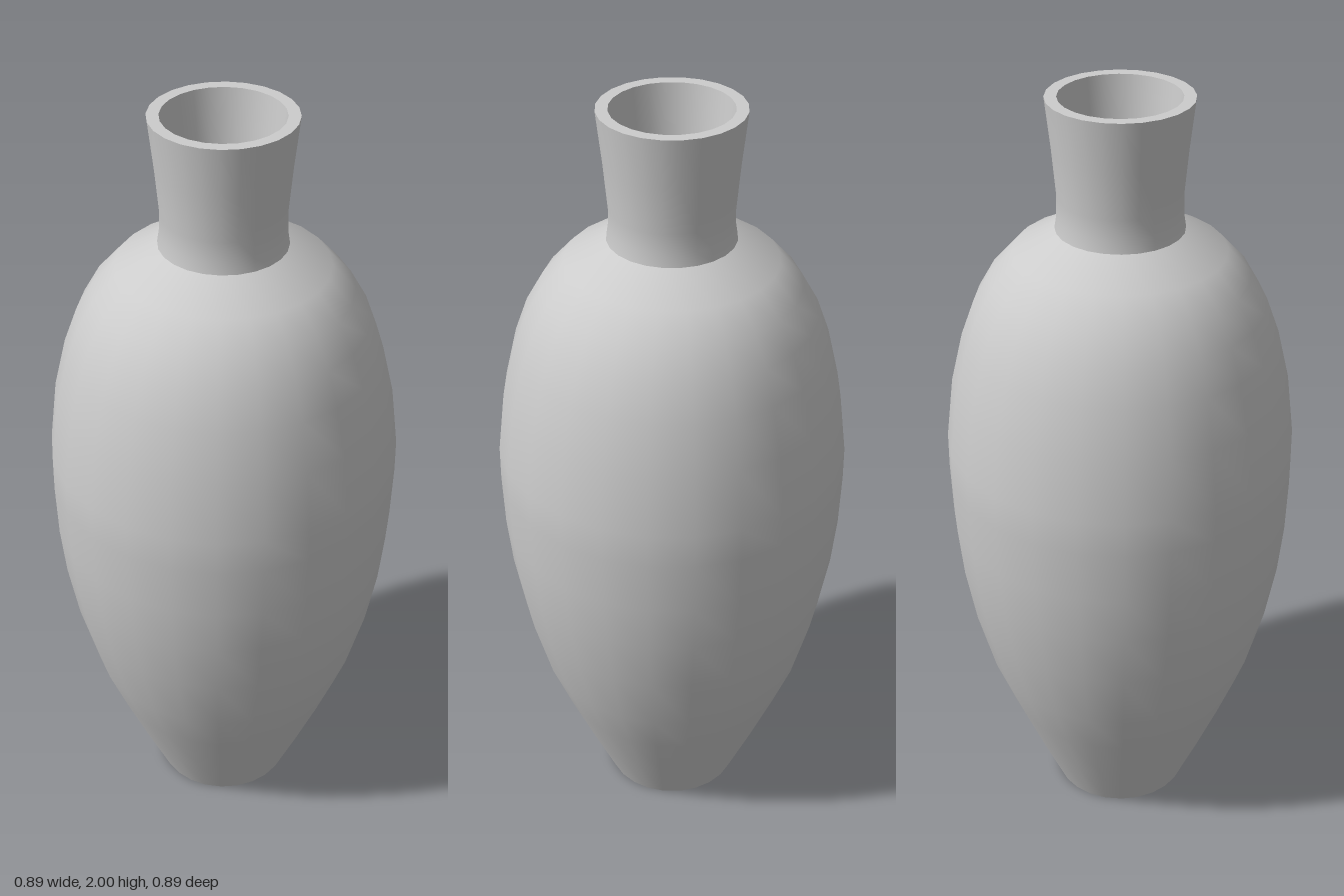
import * as THREE from 'three';

const SIDES = 24;
const WALL = 0.03;
const material = new THREE.MeshStandardMaterial({ color: 0xcccccc });

const points = (pairs) => pairs.map(([r, y]) => new THREE.Vector2(r, y));

// Profiles as [radius, height], from the bottom up
const bodyProfile = points([
  [0.175, 0], [0.238, 0.14], [0.3, 0.285], [0.35, 0.41], [0.397, 0.58], [0.425, 0.73],
  [0.439, 0.86], [0.445, 1.0], [0.445, 1.09], [0.427, 1.25], [0.397, 1.38],
  [0.365, 1.47], [0.323, 1.545], [0.265, 1.61], [0.16, 1.667],
]);
const neckProfile = points([[0.16, 1.667], [0.155, 1.7], [0.154, 1.75], [0.165, 1.87], [0.18, 2]]);

// Offset a profile inward by the wall thickness and run it downward so it faces inside
function inner(profile) {
  return profile.map((p, i) => {
    const a = profile[Math.max(i - 1, 0)];
    const b = profile[Math.min(i + 1, profile.length - 1)];
    const t = b.clone().sub(a).normalize();
    return new THREE.Vector2(p.x - t.y * WALL, p.y + t.x * WALL);
  }).reverse();
}

export function createModel() {
  const vase = new THREE.Group();
  vase.name = 'vase';

  const turn = (name, profile) => {
    const mesh = new THREE.Mesh(new THREE.LatheGeometry(profile, SIDES), material);
    mesh.name = name;
    vase.add(mesh);
  };

  // Outer surface, each part with its own crease
  turn('base', points([[0, 0], [0.175, 0]]));
  turn('body', bodyProfile);
  turn('neck', neckProfile);
  turn('rim', points([[0.18, 2], [0.15, 2]]));

  // Hollow inside: neck bore, belly wall and floor
  const bore = neckProfile.map((p) => new THREE.Vector2(p.x - WALL, p.y)).reverse();
  const joint = new THREE.Vector2(0.13, 1.65);
  const belly = inner(bodyProfile).slice(1, -1);
  const floor = new THREE.Vector2(0.16, WALL);
  turn('neckInside', [...bore, joint]);
  turn('bodyInside', [joint, ...belly, floor]);
  turn('floor', [floor, new THREE.Vector2(0, WALL)]);

  return vase;
}
